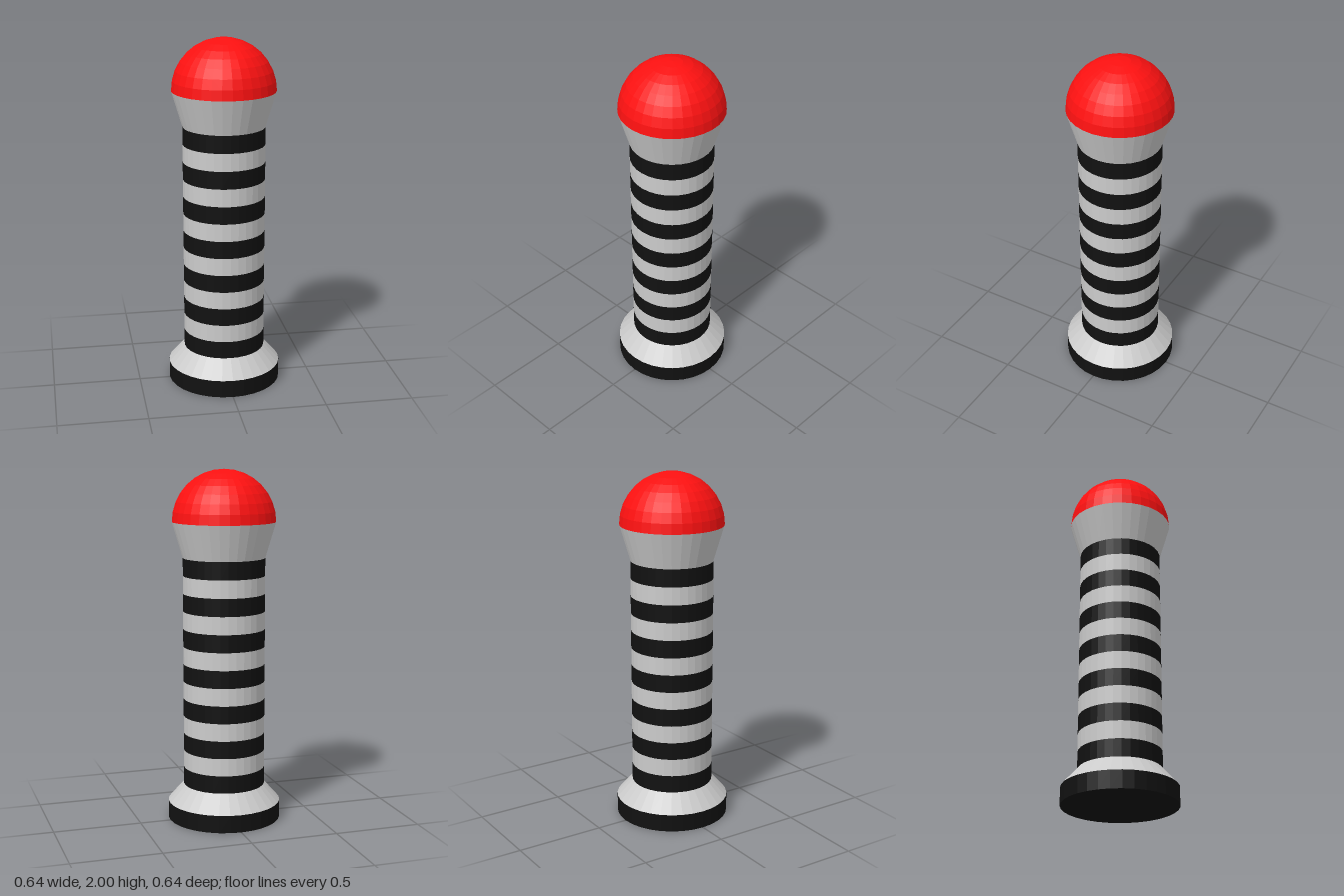
import * as THREE from 'three';

const SIDES = 32;
const U = 0.1005; // height of one stripe
const SHAFT_R = 0.232, BASE_R = 0.322, DOME_R = 2 - 17 * U;

const paint = (color) => new THREE.MeshStandardMaterial({ color, flatShading: true });

export function createModel() {
  const group = new THREE.Group();
  const grey = paint(0xcccccc);
  const black = paint(0x111111);
  const red = paint(0xff1111);

  // Round section standing between two stripe heights
  function section(name, bottomR, topR, from, to, material) {
    const h = (to - from) * U;
    const mesh = new THREE.Mesh(new THREE.CylinderGeometry(topR, bottomR, h, SIDES), material);
    mesh.position.y = from * U + h / 2;
    mesh.name = name;
    group.add(mesh);
  }

  // Foot and its sloping shoulder
  section('base', BASE_R, BASE_R, 0, 1, black);
  section('baseShoulder', BASE_R, SHAFT_R, 1, 2, grey);

  // Shaft of alternating stripes, black at both ends
  for (let i = 2; i < 15; i++) {
    const dark = i % 2 === 0;
    section(dark ? 'blackStripe' : 'greyStripe', SHAFT_R, SHAFT_R, i, i + 1, dark ? black : grey);
  }

  // Flared collar under the dome
  section('collar', SHAFT_R, DOME_R, 15, 17, grey);

  // Half-sphere cap
  const dome = new THREE.Mesh(
    new THREE.SphereGeometry(DOME_R, SIDES, 8, 0, Math.PI * 2, 0, Math.PI / 2), red);
  dome.position.y = 17 * U;
  dome.name = 'dome';
  group.add(dome);

  return group;
}
